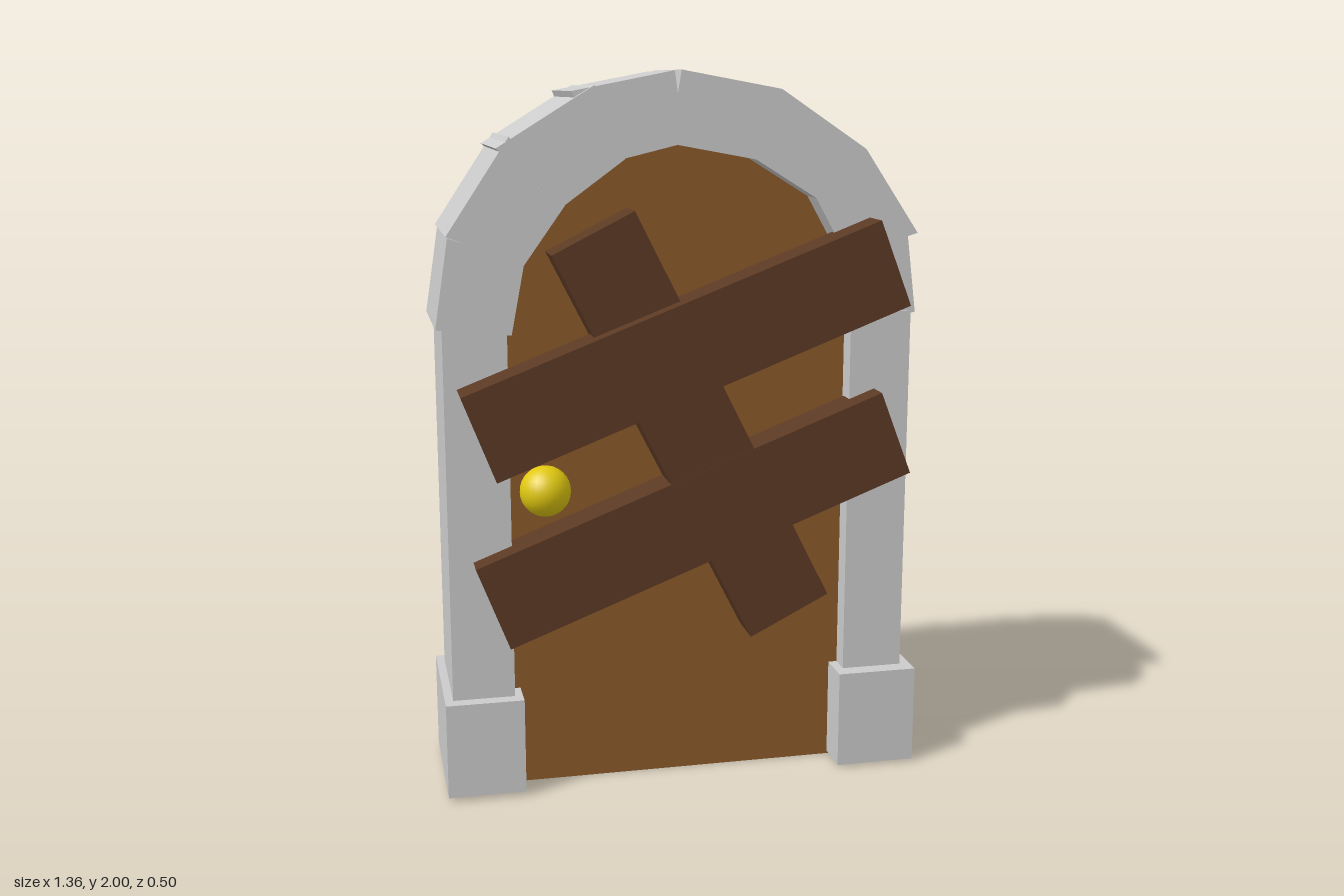
import * as THREE from 'three';

const mat = (color) => new THREE.MeshStandardMaterial({ color, flatShading: true });

export function createModel() {
  const group = new THREE.Group();
  const stone = mat(0xcccccc), doorWood = mat(0x8b5a2b), plankWood = mat(0x5c3a24);
  const knobMat = new THREE.MeshStandardMaterial({ color: 0xe0c810 });

  const add = (name, geometry, material) => {
    const mesh = new THREE.Mesh(geometry, material);
    mesh.name = name;
    group.add(mesh);
    return mesh;
  };
  // flat outline in x/y, extruded from z0 to z1
  const slab = (name, points, z0, z1, material) => {
    const shape = new THREE.Shape(points.map(([x, y]) => new THREE.Vector2(x, y)));
    const geo = new THREE.ExtrudeGeometry(shape, { depth: z1 - z0, bevelEnabled: false });
    return add(name, geo.translate(0, 0, z0), material);
  };
  const box = (name, [x0, x1], [y0, y1], [z0, z1], material) => {
    const mesh = add(name, new THREE.BoxGeometry(x1 - x0, y1 - y0, z1 - z0), material);
    mesh.position.set((x0 + x1) / 2, (y0 + y1) / 2, (z0 + z1) / 2);
    return mesh;
  };

  // door panel with an arched top
  slab('door', [
    [-0.49, 0], [0.475, 0], [0.52, 0.1], [0.52, 1.33], [0.53, 1.53], [0.42, 1.73], [0.22, 1.86],
    [-0.02, 1.9], [-0.22, 1.86], [-0.42, 1.73], [-0.53, 1.53], [-0.53, 1.33], [-0.53, 0.1],
  ], -0.13, 0.07, doorWood);

  // side posts and their foot blocks
  box('leftPost', [0.475, 0.65], [0.2, 1.34], [-0.2, 0.13], stone);
  box('rightPost', [-0.66, -0.487], [0.2, 1.34], [-0.2, 0.13], stone);
  box('leftFoot', [0.45, 0.68], [0.008, 0.29], [-0.25, 0.177], stone);
  box('rightFoot', [-0.683, -0.465], [0.012, 0.285], [-0.24, 0.168], stone);

  // uneven arch stones
  slab('rightSpringer', [[-0.678, 1.33], [-0.477, 1.31], [-0.44, 1.5], [-0.64, 1.57]], -0.222, 0.153, stone);
  slab('rightLowerArchStone', [[-0.645, 1.575], [-0.443, 1.495], [-0.325, 1.66], [-0.475, 1.83]], -0.238, 0.166, stone);
  slab('rightUpperArchStone', [[-0.51, 1.8], [-0.335, 1.65], [-0.17, 1.77], [-0.25, 1.96]], -0.234, 0.168, stone);
  slab('crownStone', [[-0.308, 1.945], [-0.235, 1.77], [-0.17, 1.77], [-0.025, 1.805],
    [-0.025, 1.94], [-0.033, 1.998]], -0.22, 0.15, stone);
  slab('leftArchStone', [
    [-0.025, 1.805], [0.19, 1.765], [0.36, 1.66], [0.45, 1.5], [0.655, 1.56],
    [0.5, 1.79], [0.26, 1.95], [-0.015, 2], [-0.025, 1.94],
  ], -0.22, 0.152, stone);
  slab('leftSpringer', [[0.47, 1.31], [0.665, 1.335], [0.635, 1.57], [0.44, 1.5]], -0.185, 0.123, stone);

  // boards nailed across the door: centre, tilt in degrees, front z
  const plank = (name, x, y, tilt, front) => {
    const mesh = add(name, new THREE.BoxGeometry(1.222, 0.25, 0.12), plankWood);
    mesh.position.set(x, y, front - 0.06);
    mesh.rotation.z = THREE.MathUtils.degToRad(tilt);
  };
  plank('upperPlank', -0.01, 1.268, 21.1, 0.25);
  plank('lowerPlank', 0.022, 0.785, 21.1, 0.2);
  plank('uprightPlank', 0.013, 1.035, 116.8, 0.199);

  // round door knob
  add('knob', new THREE.SphereGeometry(0.07, 24, 16), knobMat).position.set(-0.395, 0.88, 0.155);

  return group;
}
